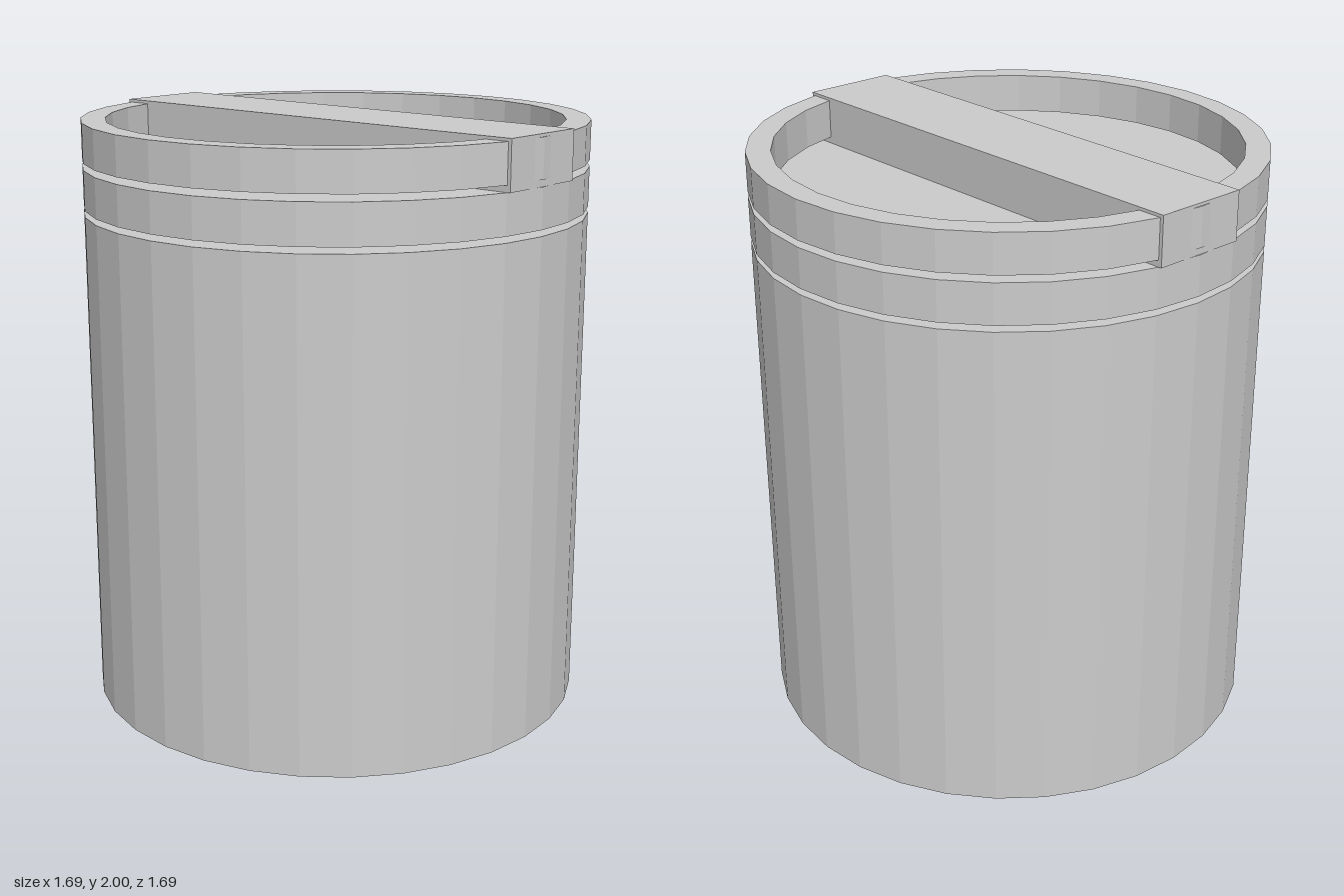
import * as THREE from 'three';

const SIDES = 32;
const RADIUS = 0.843;

export function createModel() {
  const group = new THREE.Group();
  const material = new THREE.MeshStandardMaterial({ color: 0xcccccc, flatShading: true });

  const add = (name, geometry, y = 0) => {
    const mesh = new THREE.Mesh(geometry, material);
    mesh.name = name;
    mesh.position.y = y;
    group.add(mesh);
  };

  // Solid faceted drum between two heights
  const addDrum = (name, bottom, top) =>
    add(name, new THREE.CylinderGeometry(RADIUS, RADIUS, top - bottom, SIDES), (bottom + top) / 2);

  addDrum('canisterBody', 0, 1.685);
  addDrum('lidDisc', 1.705, 1.838);

  // Open rim around the recessed lid
  const inner = 0.762, low = 1.86, high = 1.99;
  const section = [[inner, low], [RADIUS, low], [RADIUS, high], [inner, high], [inner, low]];
  add('lidRim', new THREE.LatheGeometry(section.map(([r, y]) => new THREE.Vector2(r, y)), SIDES));

  // Grip bar across the lid, standing on the disc and joining it to the rim
  const barBottom = 1.838, barTop = 2;
  add('gripBar', new THREE.BoxGeometry(1.678, barTop - barBottom, 0.326), (barBottom + barTop) / 2);

  return group;
}
